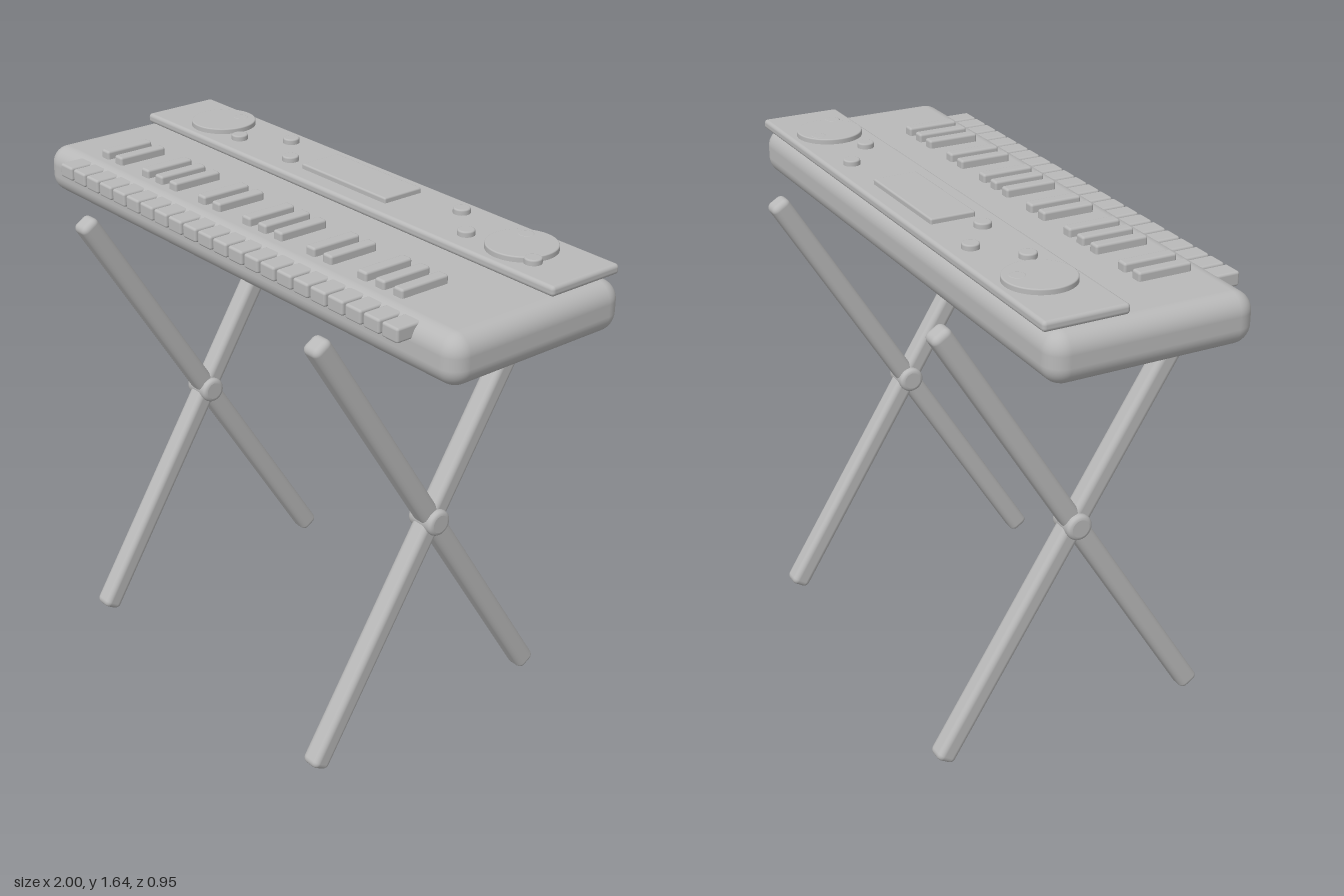
import * as THREE from 'three';
import { RoundedBoxGeometry } from 'three/addons/geometries/RoundedBoxGeometry.js';

export function createModel() {
  const model = new THREE.Group();
  model.name = 'keyboardOnStand';
  const grey = new THREE.MeshStandardMaterial({ color: 0xb8b8b8 });
  grey.name = 'grey';

  const add = (name, geometry, x, y, z, parent = model) => {
    const mesh = new THREE.Mesh(geometry, grey);
    mesh.name = name;
    mesh.position.set(x, y, z);
    parent.add(mesh);
    return mesh;
  };
  const box = (w, h, d, r, seg = 3) => new RoundedBoxGeometry(w, h, d, seg, r);

  // Solid disc about y with rounded rims
  const disc = (radius, height, r, sides = 40) => {
    const h = height / 2;
    const pts = [new THREE.Vector2(0, -h), new THREE.Vector2(radius - r, -h)];
    for (const s of [-1, 1]) {
      for (let i = 0; i <= 4; i++) {
        const a = (s < 0 ? i - 4 : i) * Math.PI / 8;
        pts.push(new THREE.Vector2(radius - r + r * Math.cos(a), s * (h - r) + r * Math.sin(a)));
      }
    }
    pts.push(new THREE.Vector2(radius - r, h), new THREE.Vector2(0, h));
    return new THREE.LatheGeometry(pts, sides);
  };

  // Instrument body and raised control panel
  add('body', box(2, 0.157, 0.654, 0.06, 6), 0, 1.5045, 0);
  add('controlPanel', box(1.932, 0.032, 0.268, 0.012), 0, 1.603, -0.201);
  add('display', box(0.4, 0.03, 0.148, 0.006), 0, 1.621, -0.204);

  // Speakers and buttons
  for (const s of [-1, 1]) add('speaker', disc(0.108, 0.03, 0.004, 48), s * 0.711, 1.621, -0.202);
  const buttons = [
    [-0.69, -0.26], [-0.417, -0.26], [0.4, -0.26], [0.669, -0.26],
    [-0.553, -0.15], [-0.283, -0.15], [0.535, -0.15], [0.807, -0.15],
  ];
  for (const [x, z] of buttons) add('button', disc(0.027, 0.03, 0.005, 24), x, 1.6215, z);

  // White keys along the front edge
  const pitch = 0.076, firstX = -10.5 * pitch;
  const keys = new THREE.Group();
  keys.name = 'keys';
  model.add(keys);
  const whiteKey = box(0.066, 0.045, 0.18, 0.008);
  for (let i = 0; i < 22; i++) add('whiteKey', whiteKey, firstX + i * pitch, 1.5535, 0.287, keys);

  // Black keys in groups of two and three
  const blackKey = box(0.04, 0.06, 0.174, 0.008);
  for (const i of [0, 1, 3, 4, 5, 7, 8, 10, 11, 12, 14, 15, 17, 18, 19]) {
    add('blackKey', blackKey, firstX + (i + 0.5) * pitch, 1.58, 0.161, keys);
  }

  // Support bar under the body
  add('supportBar', box(1.262, 0.072, 0.072, 0.022), 0, 1.415, 0);

  // Crossed legs with pivots
  const leg = box(0.068, 1.716, 0.068, 0.02);
  const pivot = disc(0.043, 0.106, 0.014, 32);
  for (const s of [-1, 1]) {
    const stand = new THREE.Group();
    stand.name = s < 0 ? 'rightStand' : 'leftStand';
    stand.position.set(s * 0.58, 0.739, 0);
    model.add(stand);
    for (const t of [-1, 1]) {
      add('leg', leg, 0, 0, 0, stand).rotation.x = t * THREE.MathUtils.degToRad(32);
    }
    add('pivot', pivot, 0, 0, 0, stand).rotation.z = Math.PI / 2;
  }
  return model;
}
